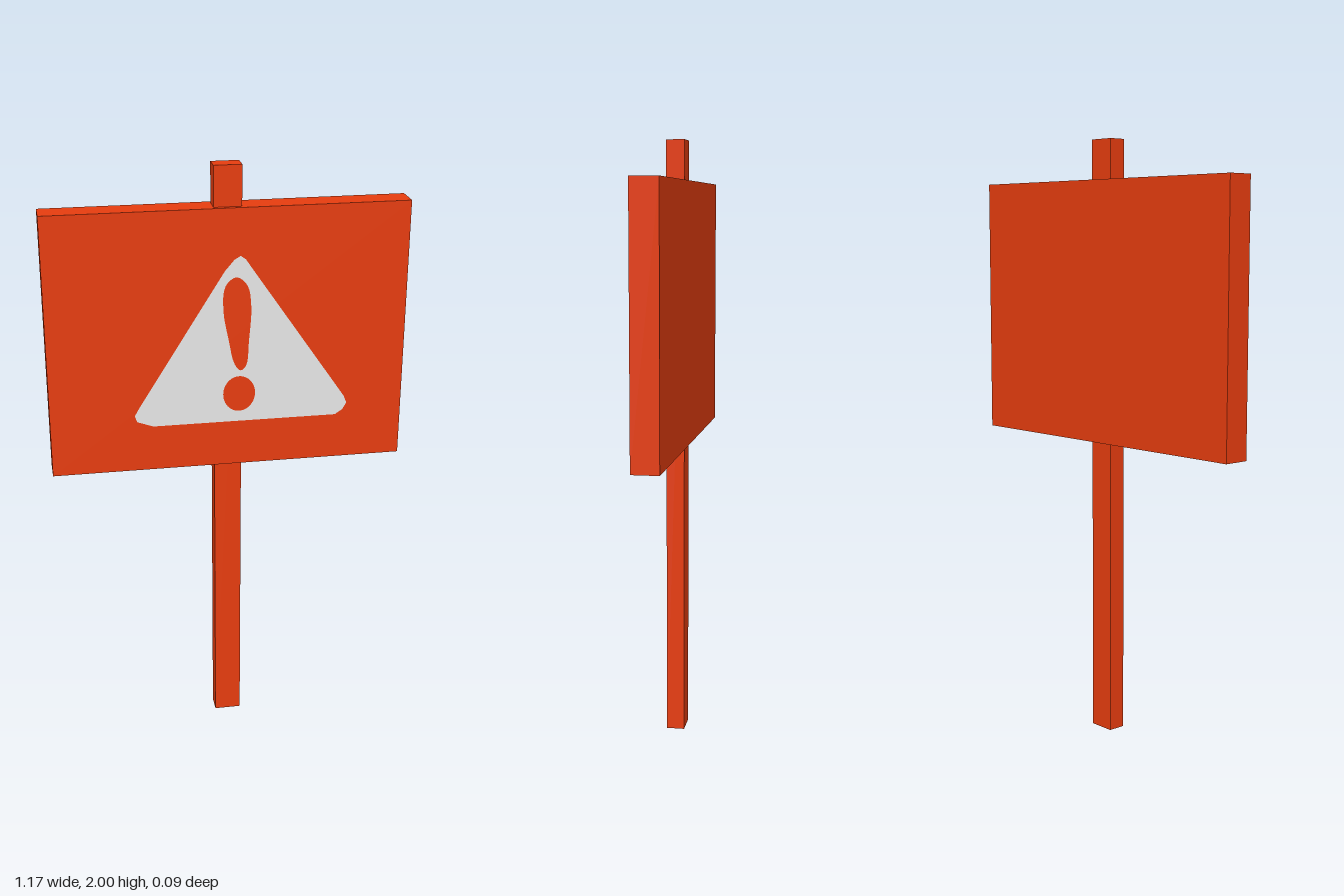
import * as THREE from 'three';

const POST = { w: 0.09, h: 2, d: 0.06 };
const BOARD = { w: 1.17, h: 0.87, d: 0.09, y: 1.435 };

const vecs = (points) => points.map(([x, y]) => new THREE.Vector2(x, y));

// Closed smooth outline through a few points
function smoothPath(points) {
  const curve = new THREE.CatmullRomCurve3(
    points.map(([x, y]) => new THREE.Vector3(x, y, 0)), true);
  return new THREE.Path(curve.getPoints(40).slice(0, -1).map((p) => new THREE.Vector2(p.x, p.y)));
}

export function createModel() {
  const red = new THREE.MeshStandardMaterial({ color: 0xff4412, side: THREE.DoubleSide });
  red.name = 'signal red';
  const white = new THREE.MeshStandardMaterial({ color: 0xffffff });
  white.name = 'white';

  const model = new THREE.Group();
  model.name = 'warningSign';
  const add = (name, geometry, material, y, z = 0) => {
    const mesh = new THREE.Mesh(geometry, material);
    mesh.name = name;
    mesh.position.set(0, y, z);
    model.add(mesh);
  };

  // Hollow post, capped on top and open underneath
  const post = new THREE.BoxGeometry(POST.w, POST.h, POST.d);
  const index = Array.from(post.index.array);
  index.splice(18, 6); // drop the bottom face
  post.setIndex(index);
  post.clearGroups();
  add('post', post, red, POST.h / 2);

  // Board
  add('board', new THREE.BoxGeometry(BOARD.w, BOARD.h, BOARD.d), red, BOARD.y);

  // Warning triangle with rounded corners
  const triangle = new THREE.Shape(vecs([
    [-0.25, 1.155], [0.36, 1.155], [0.385, 1.172], [0.398, 1.195], [0.388, 1.22],
    [0.075, 1.675], [0.055, 1.705], [0.038, 1.717], [0.018, 1.705], [-0.012, 1.67],
    [-0.295, 1.222], [-0.31, 1.195], [-0.302, 1.174],
  ]));
  // Exclamation mark cut through to the board: stroke and dot
  triangle.holes.push(smoothPath([
    [0.025, 1.648], [0.06, 1.62], [0.073, 1.55], [0.066, 1.43], [0.058, 1.35],
    [0.04, 1.333], [0.02, 1.355], [0, 1.44], [-0.017, 1.54], [-0.01, 1.62],
  ]));
  triangle.holes.push(new THREE.Path().absellipse(0.035, 1.252, 0.053, 0.061, 0, Math.PI * 2, true));
  add('warningTriangle', new THREE.ShapeGeometry(triangle, 24), white, 0, BOARD.d / 2 + 0.002);

  return model;
}
